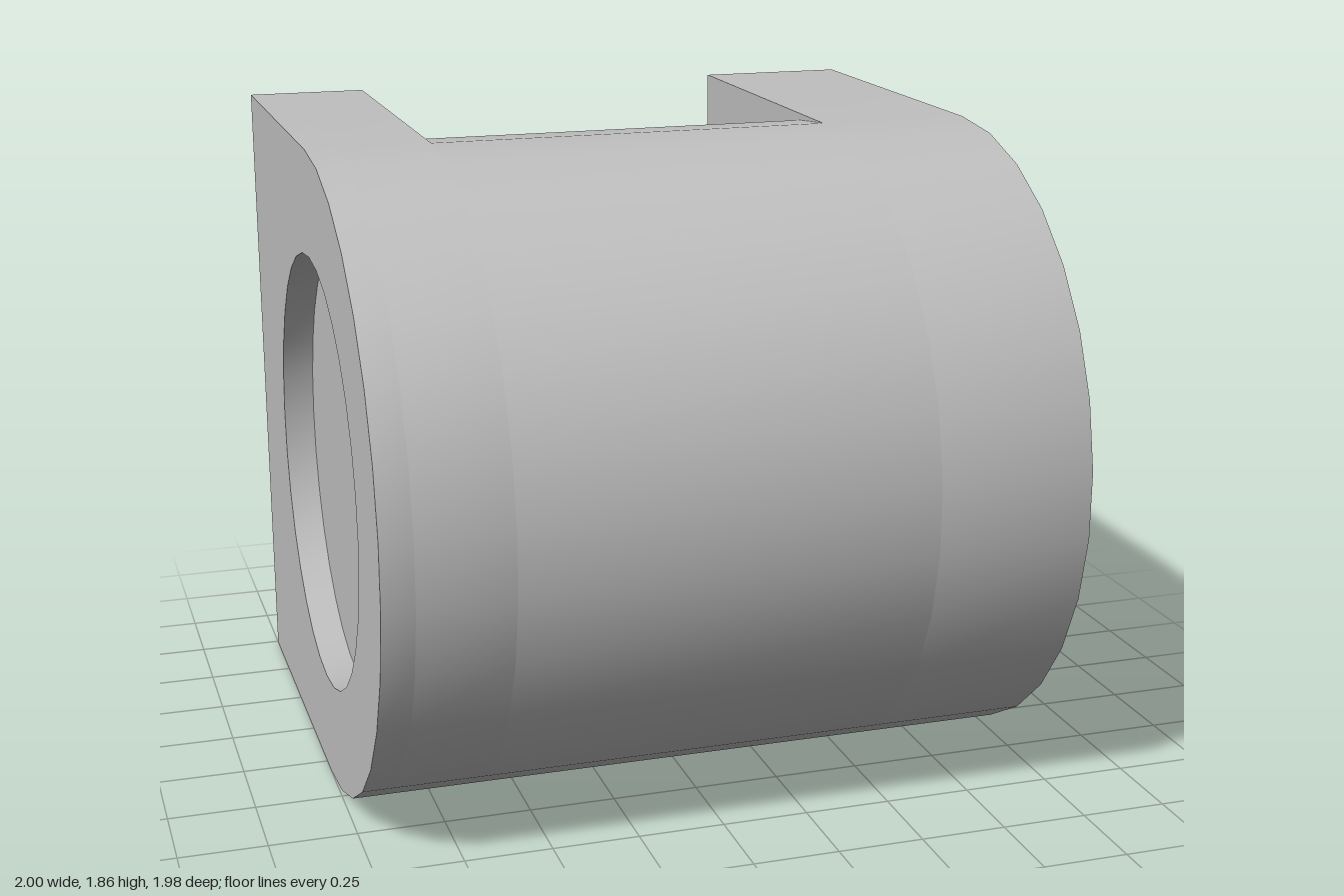
import * as THREE from 'three';
import { toCreasedNormals } from 'three/addons/utils/BufferGeometryUtils.js';

const R = 0.93;          // barrel radius, also the axis height
const AXIS_Z = 0.063;    // barrel axis position
const BACK = -0.993;     // rear mounting face
const SPLIT = -0.6;      // where the bolt holes end
const AXIS_U = -AXIS_Z;  // profiles are drawn with u = -z

// Points along a circular arc
function arc(u, v, r, from, to, n) {
  return Array.from({ length: n + 1 }, (_, i) => {
    const a = from + (to - from) * i / n;
    return new THREE.Vector2(u + r * Math.cos(a), v + r * Math.sin(a));
  });
}
const circle = (u, v, r, n) => arc(u, v, r, 0, 2 * Math.PI, n).slice(0, -1);

// D-shaped flange outline, optionally with a round opening
function flangeShape(holeRadius) {
  const pts = arc(AXIS_U, R, R, Math.PI / 2, Math.PI * 1.5, 15);
  pts.push(new THREE.Vector2(-SPLIT, 0), new THREE.Vector2(-SPLIT, 2 * R));
  const shape = new THREE.Shape(pts);
  if (holeRadius) shape.holes.push(new THREE.Path(circle(AXIS_U, R, holeRadius, 32)));
  return shape;
}

function extrude(shape, depth) {
  return new THREE.ExtrudeGeometry(shape, { depth, bevelEnabled: false });
}

// Extrude a (u, y) profile along x from x0 to x1
function alongX(shape, x0, x1) {
  return toCreasedNormals(extrude(shape, x1 - x0).rotateY(Math.PI / 2).translate(x0, 0, 0), 0.5);
}

// Rear part of a flange with a blind bolt hole in its back face
function mountingFoot(x0, x1, holeX) {
  const shape = new THREE.Shape([
    new THREE.Vector2(x0, 0), new THREE.Vector2(x1, 0),
    new THREE.Vector2(x1, 2 * R), new THREE.Vector2(x0, 2 * R),
  ]);
  shape.holes.push(new THREE.Path(circle(holeX, R, 0.075, 20)));
  return toCreasedNormals(extrude(shape, SPLIT - BACK).translate(0, 0, BACK), 0.5);
}

export function createModel() {
  const group = new THREE.Group();
  const grey = new THREE.MeshStandardMaterial({ color: 0xbfbfbf });
  grey.name = 'grey metal';
  const add = (name, geometry) => {
    const mesh = new THREE.Mesh(geometry, grey);
    mesh.name = name;
    group.add(mesh);
  };

  // Barrel between the flanges
  add('barrel', alongX(new THREE.Shape(circle(AXIS_U, R, R, 30).map((p) =>
    p.rotateAround(new THREE.Vector2(AXIS_U, R), Math.PI / 2))), -0.645, 0.525));

  // Left flange with round boss
  add('leftFlange', alongX(flangeShape(), 0.525, 0.97));
  add('leftFoot', mountingFoot(0.525, 0.97, 0.732));
  add('boss', alongX(new THREE.Shape(circle(AXIS_U, R, 0.3, 24)), 0.96, 1));

  // Right flange with shallow round recess
  add('rightFlange', alongX(flangeShape(), -0.91, -0.645));
  add('recessRim', alongX(flangeShape(0.628), -1, -0.91));
  add('rightFoot', mountingFoot(-1, -0.645, -0.766));

  return group;
}
